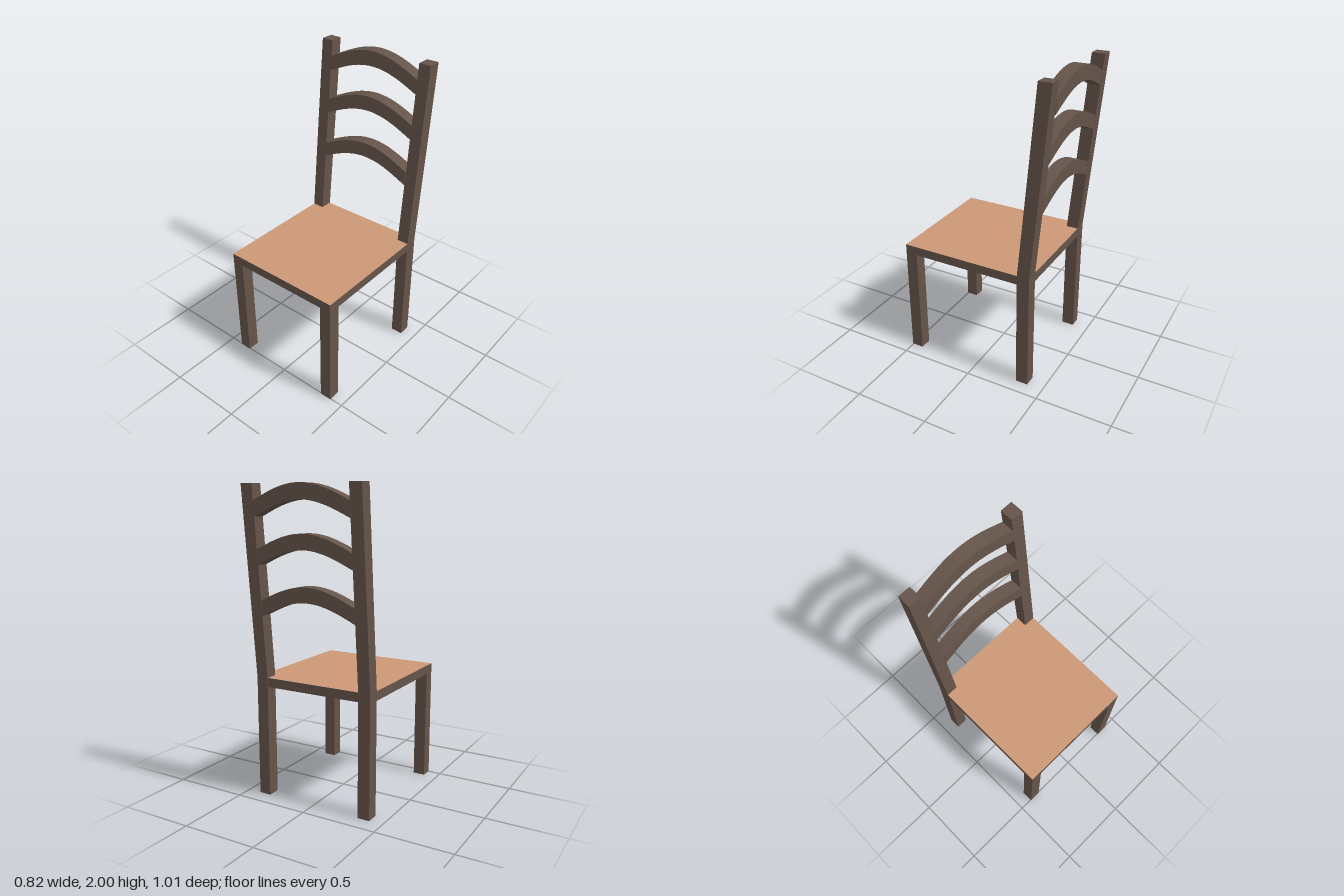
import * as THREE from 'three';

export function createModel() {
  const wood = new THREE.MeshStandardMaterial({ color: 0x65544a });
  wood.name = 'dark wood';
  const tan = new THREE.MeshStandardMaterial({ color: 0xcb9775 });
  tan.name = 'tan seat';

  const chair = new THREE.Group();
  chair.name = 'chair';
  const add = (name, geometry, material) => {
    const mesh = new THREE.Mesh(geometry, material);
    mesh.name = name;
    chair.add(mesh);
    return mesh;
  };

  const halfWidth = 0.41, leg = 0.08, seatTop = 0.795, seatThick = 0.06;

  // seat slab: tan on top, dark wood elsewhere
  const seat = add('seat', new THREE.BoxGeometry(halfWidth * 2, seatThick, 0.895),
    [wood, wood, tan, wood, wood, wood]);
  seat.position.set(0, seatTop - seatThick / 2, 0.0575);

  // side profile of a rear post (z, y): straight leg, then leaning back
  const postShape = new THREE.Shape([
    [-0.31, 0], [-0.31, seatTop], [-0.42, 2], [-0.505, 2], [-0.393, seatTop], [-0.393, 0],
  ].map(([z, y]) => new THREE.Vector2(z, y)));

  for (const side of [1, -1]) {
    const label = side > 0 ? 'left' : 'right';
    const x = side * (halfWidth - leg / 2);

    const legHeight = seatTop - seatThick;
    add(label + 'FrontLeg', new THREE.BoxGeometry(leg, legHeight, leg), wood)
      .position.set(x, legHeight / 2, 0.465);

    const post = new THREE.ExtrudeGeometry(postShape, { depth: leg, bevelEnabled: false });
    post.rotateY(-Math.PI / 2);
    add(label + 'BackPost', post, wood).position.x = x + leg / 2;
  }

  // arched back slats, leaning slightly backwards
  const slat = (name, y0, frontZ) => {
    const span = 0.33, rise = 0.1, height = 0.095, depth = 0.087, steps = 24;
    const arch = (x) => rise * Math.cos((x / span) * Math.PI / 2);
    const lower = [], upper = [];
    for (let i = 0; i <= steps; i++) {
      const x = -span + (2 * span * i) / steps;
      lower.push(new THREE.Vector2(x, arch(x)));
      upper.unshift(new THREE.Vector2(x, arch(x) + height));
    }
    const g = new THREE.ExtrudeGeometry(new THREE.Shape([...lower, ...upper]),
      { depth, bevelEnabled: false });
    const p = g.attributes.position;
    for (let i = 0; i < p.count; i++) p.setZ(i, p.getZ(i) - depth - 0.04 * p.getY(i));
    g.computeVertexNormals();
    add(name, g, wood).position.set(0, y0, frontZ);
  };
  slat('lowerSlat', 1.203, -0.345);
  slat('middleSlat', 1.517, -0.376);
  slat('topSlat', 1.805, -0.405);

  return chair;
}
